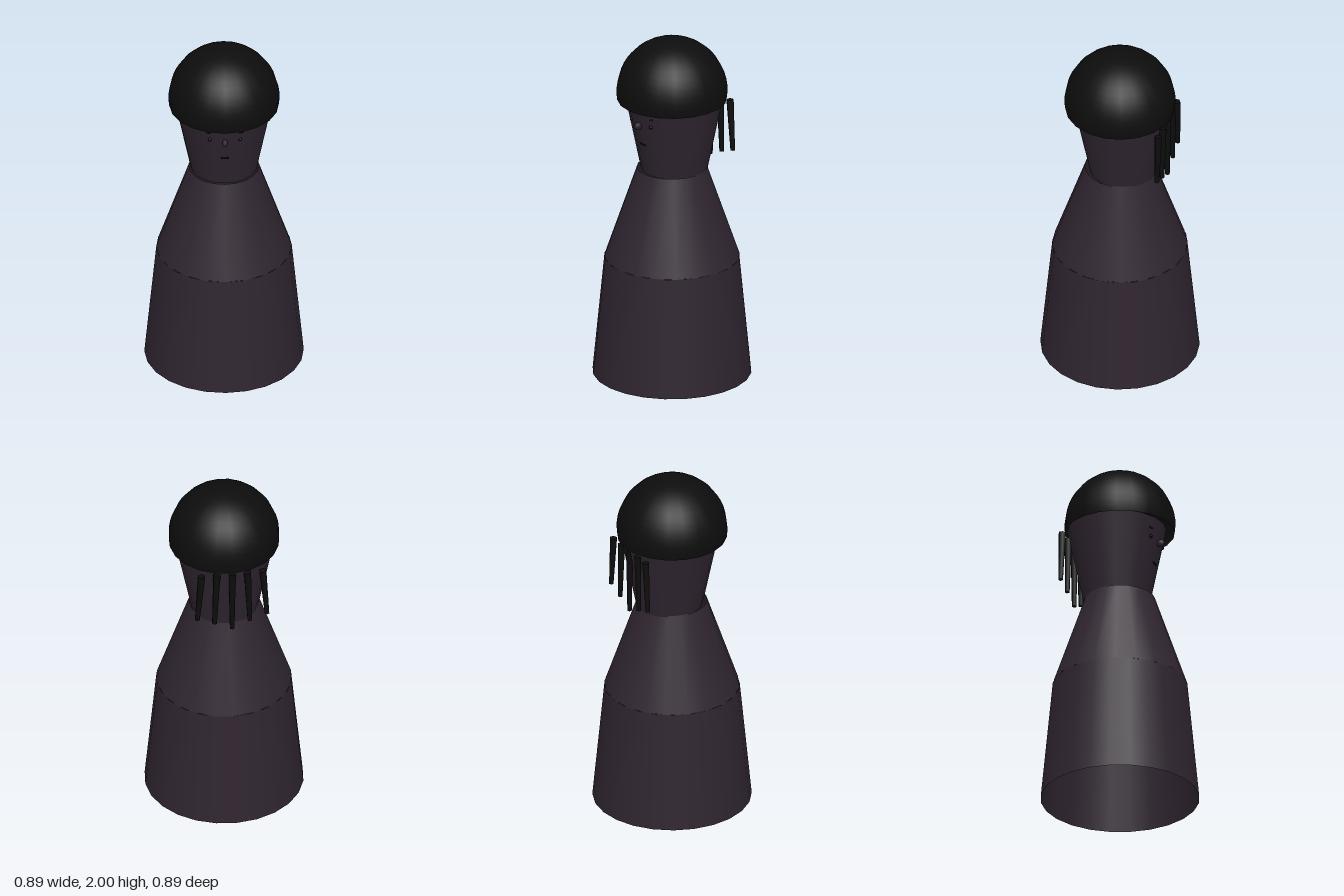
import * as THREE from 'three';

export function createModel() {
  const model = new THREE.Group();
  model.name = 'figurine';

  const plum = new THREE.MeshStandardMaterial({ color: 0x2f2530, side: THREE.DoubleSide });
  plum.name = 'dark plum';
  const black = new THREE.MeshStandardMaterial({ color: 0x0d0d0d, side: THREE.DoubleSide });
  black.name = 'hair black';

  function add(name, geometry, material, x, y, z) {
    const mesh = new THREE.Mesh(geometry, material);
    mesh.name = name;
    mesh.position.set(x, y, z);
    model.add(mesh);
    return mesh;
  }

  // Open tapered tube standing between two heights
  function taper(name, rTop, rBottom, y0, y1, segments, z = 0) {
    const geometry = new THREE.CylinderGeometry(rTop, rBottom, y1 - y0, segments, 1, true);
    return add(name, geometry, plum, 0, (y0 + y1) / 2, z);
  }

  // Robe, torso and head
  const headZ = -0.018;
  taper('skirt', 0.38, 0.447, 0, 0.695, 24);
  taper('torso', 0.197, 0.38, 0.695, 1.23, 20);
  taper('head', 0.278, 0.188, 1.22, 1.66, 20, headZ);

  // Hair cap: slightly more than half a sphere
  add('hairCap', new THREE.SphereGeometry(0.312, 20, 14, 0, Math.PI * 2, 0, Math.PI * 0.55),
    black, 0, 1.688, 0);

  // Depth of the face surface at a given spot
  const faceZ = (x, y) => {
    const r = 0.188 + 0.09 * (y - 1.22) / 0.44;
    return Math.sqrt(r * r - x * x) + headZ;
  };

  // Face
  const nose = add('nose', new THREE.SphereGeometry(0.02, 10, 8), plum, 0, 1.535, faceZ(0, 1.535) + 0.01);
  nose.scale.set(0.8, 1.1, 1.3);
  for (const side of [-1, 1]) {
    const x = side * 0.085;
    add('eye', new THREE.SphereGeometry(0.011, 8, 6), black, x, 1.547, faceZ(x, 1.547));
    const brow = add('brow', new THREE.BoxGeometry(0.025, 0.008, 0.008), black,
      x * 1.1, 1.595, faceZ(x * 1.1, 1.595) - 0.002);
    brow.rotation.y = side * 0.37;
  }
  add('mouth', new THREE.BoxGeometry(0.045, 0.007, 0.009), black, 0, 1.415, faceZ(0, 1.415));

  // Five hair strands fanning out at the back, longest in the middle
  const lengths = [0.38, 0.335, 0.3];
  for (let i = -2; i <= 2; i++) {
    const length = lengths[Math.abs(i)];
    const geometry = new THREE.CylinderGeometry(0.022, 0.014, length, 6);
    geometry.translate(0, -length / 2, 0);
    const strand = add('hairStrand', geometry, black, i * 0.087, 1.617, -0.278);
    strand.rotation.z = i * 0.04;
  }

  return model;
}
